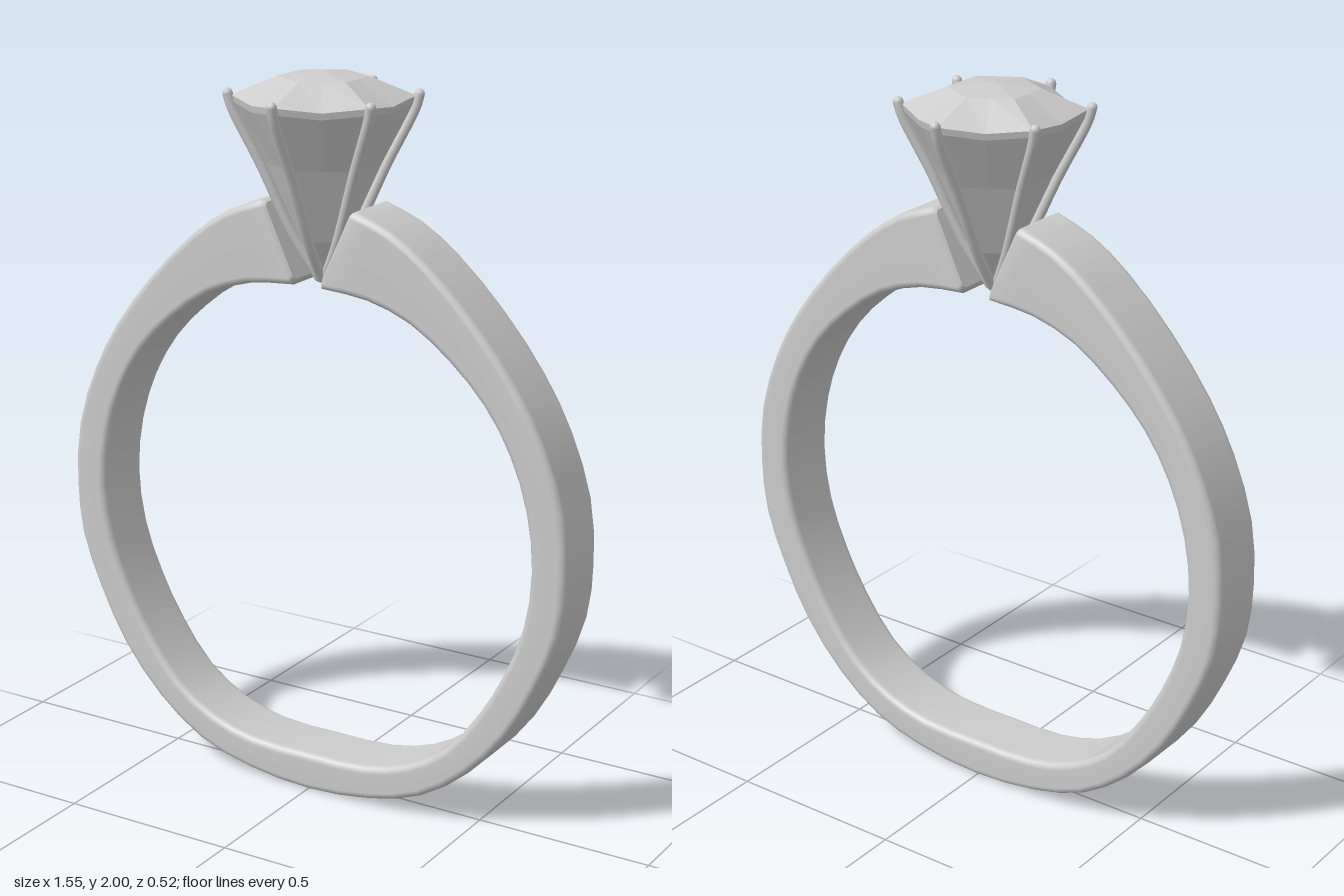
import * as THREE from 'three';

const grey = (opts = {}) => new THREE.MeshStandardMaterial({ color: 0xcccccc, ...opts });

// Half outlines of the band in x, y, from the bottom centre up to the setting
const OUTER = [[0, 0], [0.2, 0.02], [0.36, 0.07], [0.5, 0.17], [0.62, 0.31], [0.7, 0.46], [0.76, 0.62],
  [0.775, 0.78], [0.76, 0.95], [0.7, 1.12], [0.62, 1.26], [0.5, 1.41], [0.36, 1.545], [0.25, 1.62], [0.145, 1.66]];
const INNER = [[0, 0.11], [0.18, 0.115], [0.31, 0.15], [0.43, 0.225], [0.53, 0.35], [0.6, 0.475], [0.655, 0.62],
  [0.675, 0.78], [0.655, 0.94], [0.605, 1.08], [0.53, 1.2], [0.43, 1.3], [0.31, 1.385], [0.18, 1.43], [0.045, 1.443]];

// Mirror a half outline and smooth it into one curve
function fullCurve(half) {
  const left = half.slice(1).reverse().map(([x, y]) => [-x, y]);
  return new THREE.CatmullRomCurve3([...left, ...half].map(([x, y]) => new THREE.Vector3(x, y, 0)));
}

// Rounded rectangle, as offsets from its centre, counterclockwise
function roundedSection(halfW, halfH, r, steps = 4) {
  const pts = [];
  [[1, 1], [-1, 1], [-1, -1], [1, -1]].forEach(([sx, sy], q) => {
    for (let i = 0; i <= steps; i++) {
      const a = (q + i / steps) * Math.PI / 2;
      pts.push([sx * (halfW - r) + r * Math.cos(a), sy * (halfH - r) + r * Math.sin(a)]);
    }
  });
  return pts;
}

function bandGeometry() {
  const outer = fullCurve(OUTER), inner = fullCurve(INNER);
  const steps = 56, pos = [], index = [];
  let n = 0;

  // One cross-section at t, optionally shrunk and pushed along the band for the ends
  const addRing = (t, inset = 0, push = 0) => {
    const o = outer.getPoint(t), i = inner.getPoint(t);
    const mid = o.clone().add(i).multiplyScalar(0.5);
    const u = o.clone().sub(i);
    const half = u.length() / 2;
    u.normalize();
    const along = new THREE.Vector3(0, 0, 1).cross(u);
    const ring = roundedSection(0.093 - inset, half - inset, 0.02 - inset * 0.5);
    n = ring.length;
    for (const [w, h] of ring) {
      const p = mid.clone().addScaledVector(u, h).addScaledVector(along, push);
      pos.push(p.x, p.y, w);
    }
  };

  addRing(0, 0.012, -0.01);
  for (let k = 0; k <= steps; k++) addRing(k / steps);
  addRing(1, 0.012, 0.01);
  const rings = steps + 3;
  for (let k = 0; k < rings - 1; k++) {
    for (let j = 0; j < n; j++) {
      const a = k * n + j, b = k * n + (j + 1) % n;
      index.push(a, b, a + n, b, b + n, a + n);
    }
  }

  // Flat end faces with their own vertices
  const startCap = pos.length / 3;
  addRing(0, 0.012, -0.01);
  addRing(1, 0.012, 0.01);
  for (let j = 1; j < n - 1; j++) {
    index.push(startCap, startCap + j + 1, startCap + j);
    index.push(startCap + n, startCap + n + j, startCap + n + j + 1);
  }

  const geo = new THREE.BufferGeometry();
  geo.setAttribute('position', new THREE.Float32BufferAttribute(pos, 3));
  geo.setIndex(index);
  geo.computeVertexNormals();
  return geo;
}

// Six-sided stone: a 12-step lathe whose odd columns lie on the hexagon's sides
function gemGeometry() {
  const profile = [[0, 1.455], [0.065, 1.56], [0.155, 1.76], [0.236, 1.918], [0.24, 1.936], [0.12, 1.985], [0, 2]]
    .map(([r, y]) => new THREE.Vector2(r, y));
  const geo = new THREE.LatheGeometry(profile, 12);
  const p = geo.attributes.position;
  for (let i = 0; i < p.count; i++) {
    const column = Math.floor(i / profile.length), row = i % profile.length;
    if (column % 2 === 0) continue;
    const k = Math.cos(Math.PI / 6);
    const sag = row === 3 || row === 4 ? 0.012 : 0;
    p.setXYZ(i, p.getX(i) * k, p.getY(i) - sag, p.getZ(i) * k);
  }
  geo.computeVertexNormals();
  return geo;
}

export function createModel() {
  const model = new THREE.Group();
  model.name = 'ring';
  const add = (parent, geo, mat, name) => {
    const mesh = new THREE.Mesh(geo, mat);
    mesh.name = name;
    parent.add(mesh);
    return mesh;
  };
  const metal = grey();

  add(model, bandGeometry(), metal, 'band');
  add(model, gemGeometry(), grey({ flatShading: true }), 'gemstone');

  // Six prongs running up the corners of the stone
  const path = new THREE.CatmullRomCurve3([[0.012, 1.455], [0.075, 1.56], [0.166, 1.76], [0.238, 1.905], [0.248, 1.94]]
    .map(([r, y]) => new THREE.Vector3(0, y, r)));
  const prongGeo = new THREE.TubeGeometry(path, 20, 0.014, 10);
  const endGeo = new THREE.SphereGeometry(0.014, 10, 8);
  for (let i = 0; i < 6; i++) {
    const prong = new THREE.Group();
    prong.name = 'prong';
    add(prong, prongGeo, metal, 'prongWire');
    add(prong, endGeo, metal, 'prongTip').position.copy(path.getPoint(1));
    add(prong, endGeo, metal, 'prongFoot').position.copy(path.getPoint(0));
    prong.rotation.y = i * Math.PI / 3;
    model.add(prong);
  }
  return model;
}
